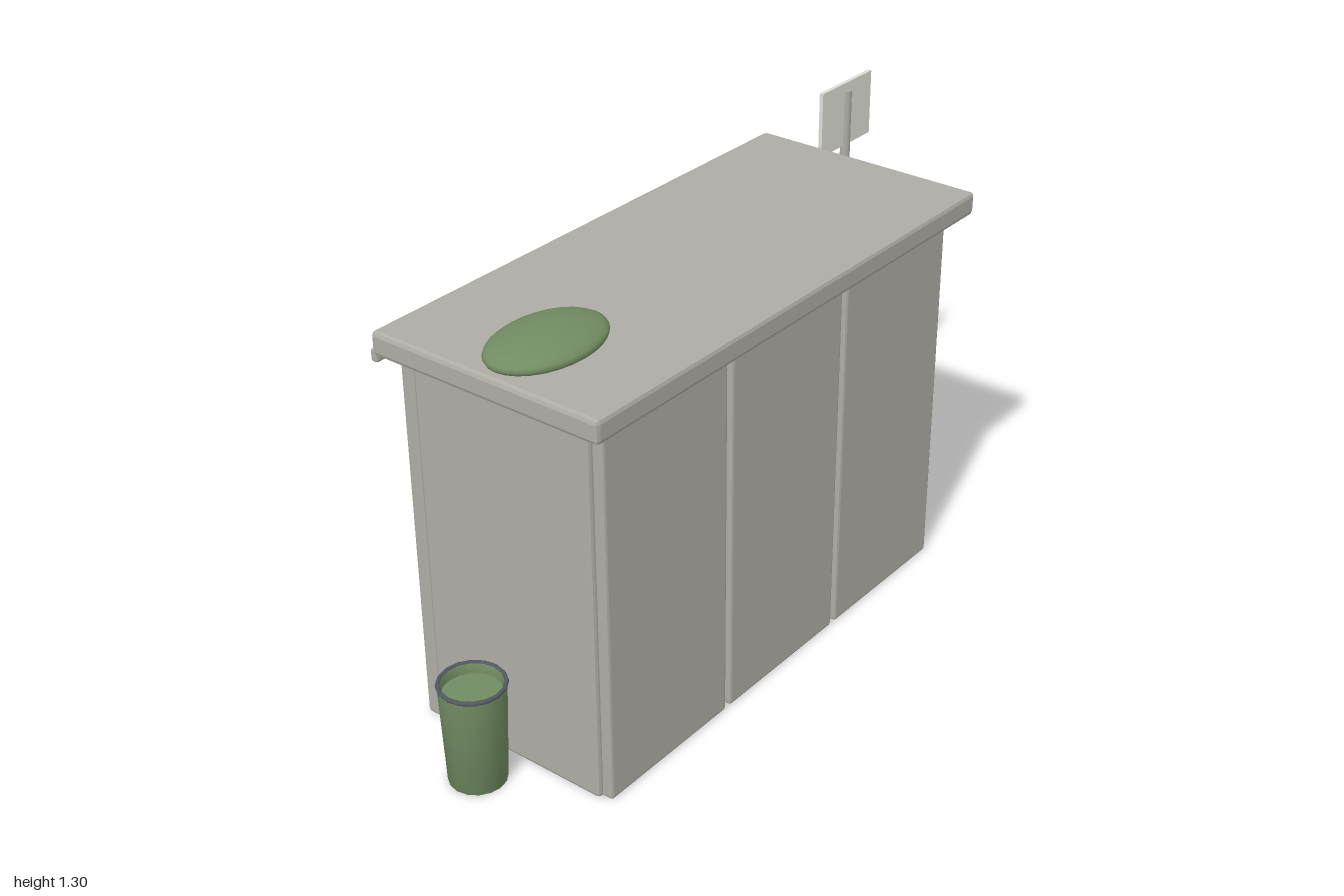
import * as THREE from 'three';
import { RoundedBoxGeometry } from 'three/addons/geometries/RoundedBoxGeometry.js';

const mat = (name, color, side = THREE.FrontSide) => {
  const m = new THREE.MeshStandardMaterial({ color, side });
  m.name = name;
  return m;
};

export function createModel() {
  const concrete = mat('concrete grey', 0xaeaca5);
  const pale = mat('pale sign grey', 0xdddfd7, THREE.DoubleSide);
  const dark = mat('dark slate', 0x545a64);
  const wood = mat('bench wood', 0x8c7050);
  const green = mat('moss green', 0x728c62, THREE.DoubleSide);

  const model = new THREE.Group();
  model.name = 'shelter';

  const add = (name, geometry, material, x = 0, y = 0, z = 0, parent = model) => {
    const mesh = new THREE.Mesh(geometry, material);
    mesh.name = name;
    mesh.position.set(x, y, z);
    parent.add(mesh);
    return mesh;
  };
  // Box given by its limits, with an optional flat chamfer
  const block = (name, [x0, x1], [y0, y1], [z0, z1], material, bevel = 0) => {
    const size = [x1 - x0, y1 - y0, z1 - z0];
    const g = bevel ? new RoundedBoxGeometry(...size, 1, bevel) : new THREE.BoxGeometry(...size);
    if (bevel) g.computeVertexNormals();
    return add(name, g, material, (x0 + x1) / 2, (y0 + y1) / 2, (z0 + z1) / 2);
  };

  const cx = -0.05; // middle of the shelter

  // Long wall of three slabs with narrow gaps
  for (const i of [-1, 0, 1]) {
    const x = cx + i * 0.487;
    block('wallPanel', [x - 0.235, x + 0.235], [0, 1.08], [0.242, 0.31], concrete, 0.008);
  }

  // End walls and posts beside the opening
  for (const s of [-1, 1]) {
    const span = (a, b) => [cx + s * a, cx + s * b].sort((p, q) => p - q);
    block('endWall', span(0.685, 0.737), [0, 1.08], [-0.28, 0.28], concrete, 0.01);
    block('openingPost', span(0.675, 0.742), [0, 1.077], [-0.31, -0.265], concrete, 0.008);
  }

  // Roof slab and gutter
  block('roof', [-0.844, 0.739], [1.079, 1.145], [-0.349, 0.358], concrete, 0.012);
  block('gutter', [-0.842, 0.737], [1.06, 1.095], [-0.357, -0.335], concrete, 0.006);

  // Moss cushion on the roof
  const moss = add('roofMoss', new THREE.SphereGeometry(1, 28, 14), green, -0.637, 1.154, 0.028);
  moss.scale.set(0.182, 0.037, 0.121);

  // Bench: seat slats, backrest and supports
  for (let i = 0; i < 3; i++) {
    const z = 0.036 + i * 0.06;
    block('seatSlat', [cx - 0.583, cx + 0.583], [0.215, 0.238], [z - 0.026, z + 0.026], wood, 0.006);
  }
  block('backrest', [cx - 0.58, cx + 0.58], [0.35, 0.42], [0.212, 0.232], wood, 0.004);
  for (const i of [-1, 0, 1]) {
    const x = cx + i * 0.487;
    block('benchSupport', [x - 0.015, x + 0.015], [0.06, 0.217], [0.005, 0.212], dark, 0.004);
  }

  // Notice face with slim top and bottom rails, and a loose sheet
  const notice = add('noticeFace', new THREE.PlaneGeometry(0.295, 0.38), dark, -0.343, 0.69, 0.225);
  notice.rotation.y = Math.PI;
  for (const y of [0.5, 0.872]) block('noticeRail', [-0.49, -0.196], [y, y + 0.008], [0.226, 0.242], dark);
  const sheet = new THREE.Shape([
    [-0.205, 0.628], [-0.305, 0.65], [-0.355, 0.517], [-0.237, 0.482], [-0.197, 0.55],
  ].map(([x, y]) => new THREE.Vector2(x, y)));
  add('looseSheet', new THREE.ShapeGeometry(sheet), pale, 0, 0, 0.21);

  // Roadside sign on its pole
  add('signPole', new THREE.CylinderGeometry(0.0145, 0.0145, 1.272, 12), concrete, 0.878, 0.636, -0.164);
  block('signBoard', [0.756, 0.998], [1.105, 1.296], [-0.174, -0.162], pale);
  block('signFace', [0.777, 0.977], [1.125, 1.276], [-0.178, -0.174], dark);
  const disc = add('signDisc', new THREE.SphereGeometry(1, 20, 12), pale, 0.878, 1.2, -0.178);
  disc.scale.set(0.043, 0.043, 0.006);

  // Litter bin with a recessed filling and a dark rim
  const bin = new THREE.Group();
  bin.name = 'litterBin';
  bin.position.set(-0.907, 0, -0.022);
  model.add(bin);
  const profile = [[0, 0], [0.077, 0], [0.088, 0.295], [0.08, 0.295], [0.079, 0.265]]
    .map(([r, y]) => new THREE.Vector2(r, y));
  add('binBody', new THREE.LatheGeometry(profile, 16), green, 0, 0, 0, bin);
  const filling = add('binFilling', new THREE.CircleGeometry(0.08, 16), green, 0, 0.265, 0, bin);
  filling.rotation.x = -Math.PI / 2;
  const rim = add('binRim', new THREE.TorusGeometry(0.086, 0.006, 6, 16), dark, 0, 0.294, 0, bin);
  rim.rotation.x = Math.PI / 2;

  return model;
}
